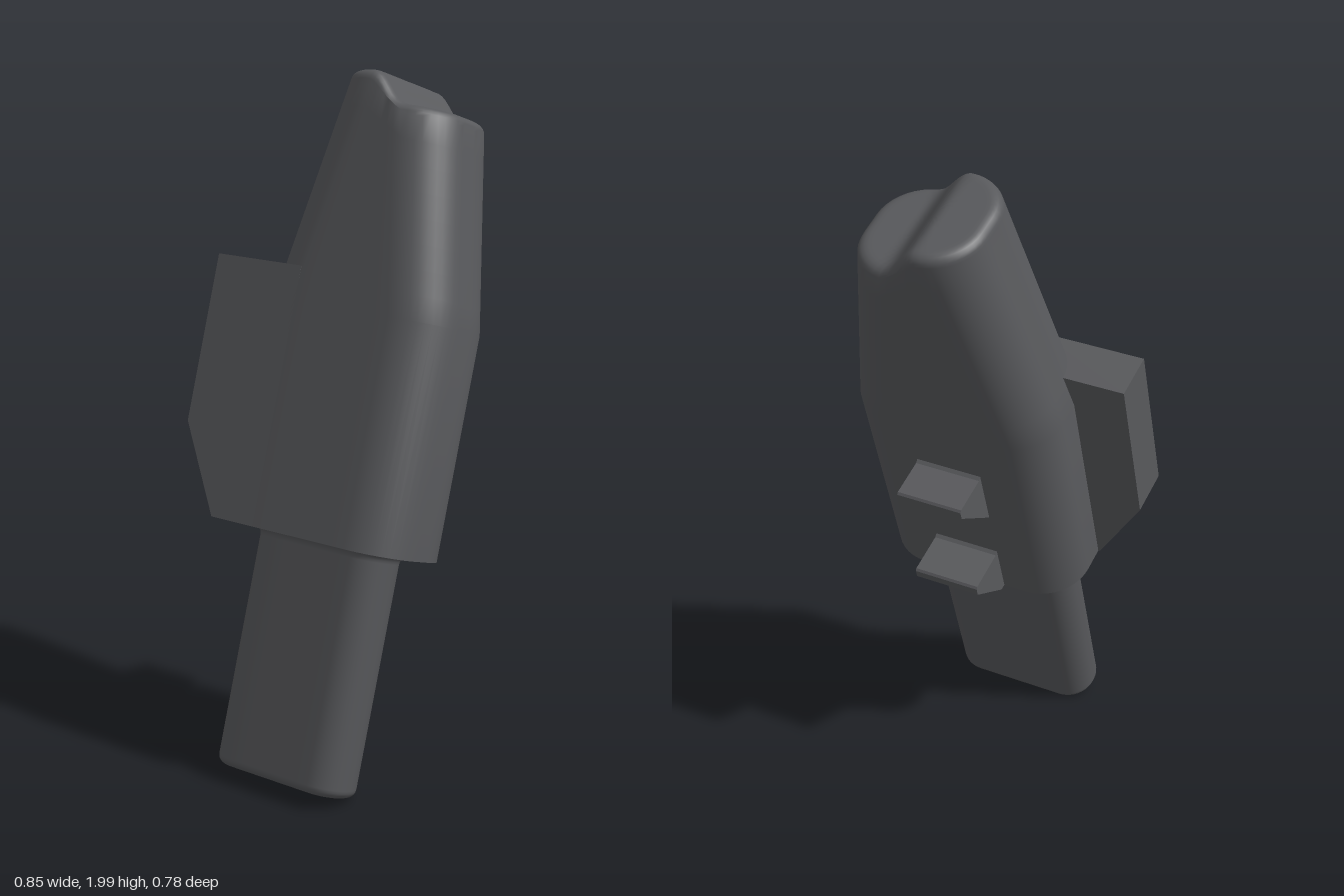
import * as THREE from 'three';
import { toCreasedNormals } from 'three/addons/utils/BufferGeometryUtils.js';

const TILT = 17.4 * Math.PI / 180;
const material = new THREE.MeshStandardMaterial({ color: 0x58595c });

// Rounded rectangle in x/z, with subdivided straight sides
function outline(hx, hz, r) {
  const pts = [];
  const corners = [[1, 1], [-1, 1], [-1, -1], [1, -1]];
  corners.forEach(([sx, sz], c) => {
    for (let i = 0; i <= 10; i++) {
      const a = (c + i / 10) * Math.PI / 2;
      pts.push([sx * (hx - r) + r * Math.cos(a), sz * (hz - r) + r * Math.sin(a)]);
    }
    const [nx, nz] = corners[(c + 1) % 4];
    const a = (c + 1) * Math.PI / 2;
    const from = pts[pts.length - 1];
    const to = [nx * (hx - r) + r * Math.cos(a), nz * (hz - r) + r * Math.sin(a)];
    for (let i = 1; i < 6; i++) {
      pts.push([0, 1].map(k => from[k] + (to[k] - from[k]) * i / 6));
    }
  });
  return pts;
}

// Skin over rings listed from bottom centre to top centre
function loft(rings) {
  const n = rings[0].length, index = [];
  for (let i = 0; i < rings.length - 1; i++) {
    for (let j = 0; j < n; j++) {
      const a = i * n + j, b = i * n + (j + 1) % n;
      index.push(a, a + n, b, b, a + n, b + n);
    }
  }
  const geo = new THREE.BufferGeometry();
  geo.setAttribute('position', new THREE.Float32BufferAttribute(rings.flat(2), 3));
  geo.setIndex(index);
  return toCreasedNormals(geo, 0.6);
}

function addMesh(group, name, geometry) {
  const mesh = new THREE.Mesh(geometry, material);
  mesh.name = name;
  group.add(mesh);
  return mesh;
}

function extrude(points, depth) {
  const shape = new THREE.Shape(points.map(p => new THREE.Vector2(...p)));
  return new THREE.ExtrudeGeometry(shape, { depth, bevelEnabled: false });
}

// Body: straight below, tapering above, ending in a stepped rounded tip
function bodyGeometry() {
  const cx = -0.325, cz = 0.08, hx = 0.175, bottom = 0.612, knee = 1.26, top = 1.938, f = 0.03;
  const halfZ = y => 0.31 - 0.135 * Math.max(0, y - knee) / (top - knee);
  const height = z => top - 0.088 * THREE.MathUtils.smoothstep(z, 0.035, 0.155);
  const section = y => outline(hx, halfZ(y), 0.14);
  const rings = [];
  for (const s of [0.001, 1]) {
    rings.push(section(bottom).map(([x, z]) => [cx + x * s, bottom, cz + z * s]));
  }
  const tip = section(top);
  const tipY = tip.map(([, z]) => height(cz + z) - f);
  let rim;
  for (let i = 0; i <= 8; i++) {
    rim = tipY.map((end, j) => {
      const y = knee + (end - knee) * i / 8;
      const [x, z] = section(y)[j];
      return [cx + x, y, cz + z];
    });
    rings.push(rim);
  }
  const cap = (s, drop) => rings.push(rim.map(([x, , z]) => {
    const pz = cz + (z - cz) * s;
    return [cx + (x - cx) * s, height(pz) - drop, pz];
  }));
  for (let i = 1; i <= 5; i++) {
    const a = i / 5 * Math.PI / 2;
    cap(1 - f * (1 - Math.cos(a)) / hx, f * (1 - Math.sin(a)));
  }
  for (let i = 1; i <= 14; i++) cap(Math.max(0.001, (1 - f / hx) * (1 - i / 14)), 0);
  return loft(rings);
}

// Lower tongue: rounded bottom edge, small flare where it meets the body
function tongueGeometry() {
  const cx = -0.335, cz = 0.0775, hx = 0.089, hz = 0.2275, r = 0.085, f = 0.025, low = -0.083;
  const ring = (y, grow, s = 1) =>
    outline(hx + grow, hz + grow, r + grow).map(([x, z]) => [cx + x * s, y, cz + z * s]);
  const rings = [ring(low, -f, 0.001)];
  for (let i = 0; i <= 5; i++) {
    const a = i / 5 * Math.PI / 2;
    rings.push(ring(low + f * (1 - Math.cos(a)), f * (Math.sin(a) - 1)));
  }
  for (let i = 0; i <= 5; i++) {
    const a = i / 5 * Math.PI / 2;
    rings.push(ring(0.587 + f * Math.sin(a), f * (1 - Math.cos(a))));
  }
  rings.push(ring(0.63, 0));
  return loft(rings);
}

export function createModel() {
  const model = new THREE.Group();
  model.name = 'model';
  const tilted = new THREE.Group();
  tilted.name = 'tiltedAssembly';
  tilted.rotation.z = -TILT;
  model.add(tilted);

  addMesh(tilted, 'body', bodyGeometry());
  addMesh(tilted, 'tongue', tongueGeometry());

  // Rear slab, flush with the flat side of the body
  const slab = extrude([[0.08, 0.612], [0.235, 0.612], [0.39, 0.868], [0.39, 1.363], [0.08, 1.363]], 0.136);
  slab.rotateY(Math.PI / 2).translate(-0.5, 0, 0);
  addMesh(tilted, 'rearSlab', slab);

  // Wedge tabs with a small fillet at the upper root
  const root = [[-0.2, 1.125], [-0.157, 1.125], [-0.152, 1.112], [-0.14, 1.104]];
  const tip = [[-0.028, 1.104], [-0.022, 1.098], [-0.022, 1.074]];
  const upper = [...root, ...tip, [-0.155, 0.925], [-0.2, 0.925]];
  const lower = [...[...root, ...tip].map(([x, y], i) => [x + (i > 3 ? 0.01 : 0), y - 0.337]),
    [-0.131, 0.614], [-0.2, 0.614]];
  [['upperTab', upper], ['lowerTab', lower]].forEach(([name, pts]) => {
    addMesh(tilted, name, extrude(pts.reverse(), 0.2)).position.z = -0.02;
  });
  return model;
}
